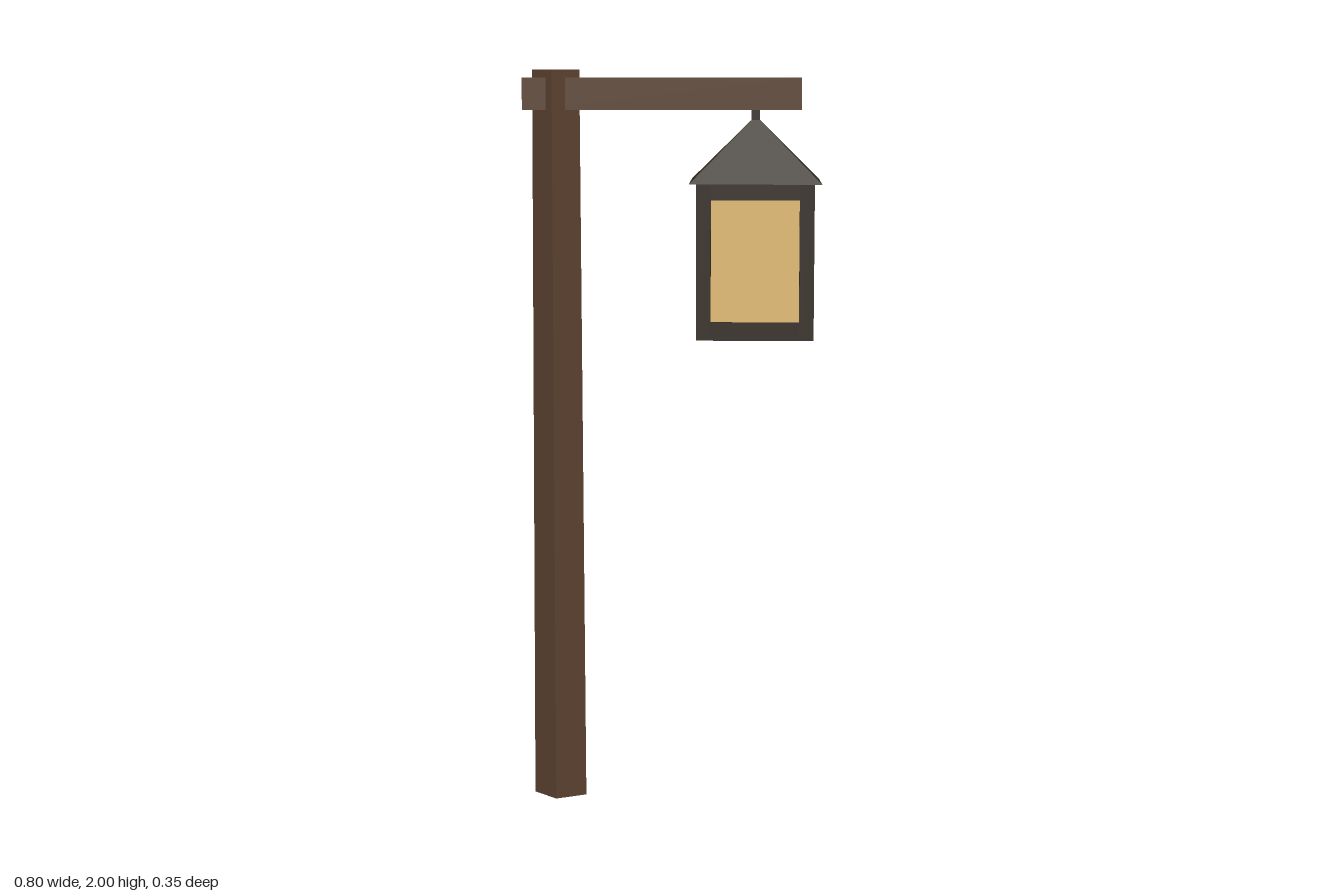
import * as THREE from 'three';

const material = (color) => new THREE.MeshStandardMaterial({ color, flatShading: true });

export function createModel() {
  const model = new THREE.Group();
  model.name = 'lampPost';
  const wood = material(0x5c4230);
  const iron = material(0x332a22);
  const glass = material(0xe3bc73);

  const add = (parent, name, geometry, mat, x, y, z) => {
    const mesh = new THREE.Mesh(geometry, mat);
    mesh.name = name;
    mesh.position.set(x, y, z);
    parent.add(mesh);
    return mesh;
  };
  const box = (w, h, d) => new THREE.BoxGeometry(w, h, d);

  // Tapered five-sided post and the beam passing through it
  const postShape = new THREE.CylinderGeometry(0.068, 0.077, 2, 5, 1, false, THREE.MathUtils.degToRad(63));
  add(model, 'post', postShape, wood, -0.308, 1, 0);
  add(model, 'beam', box(0.745, 0.085, 0.1), wood, -0.0275, 1.936, 0);

  // Hanging lantern
  const lantern = new THREE.Group();
  lantern.name = 'lantern';
  lantern.position.x = 0.223;
  model.add(lantern);

  add(lantern, 'hanger', box(0.022, 0.06, 0.022), iron, 0, 1.87, 0);
  const roof = new THREE.ConeGeometry(0.175 * Math.SQRT2, 0.175, 4);
  roof.rotateY(Math.PI / 4);
  add(lantern, 'roof', roof, iron, 0, 1.79, 0);
  add(lantern, 'topPlate', box(0.306, 0.043, 0.306), iron, 0, 1.682, 0);
  add(lantern, 'basePlate', box(0.306, 0.048, 0.306), iron, 0, 1.313, 0);
  add(lantern, 'glass', box(0.278, 0.34, 0.278), glass, 0, 1.499, 0);

  // Four corner posts framing the glass
  for (const sx of [-1, 1]) {
    for (const sz of [-1, 1]) {
      add(lantern, 'cornerPost', box(0.039, 0.412, 0.039), iron, sx * 0.1365, 1.496, sz * 0.1365);
    }
  }
  return model;
}
